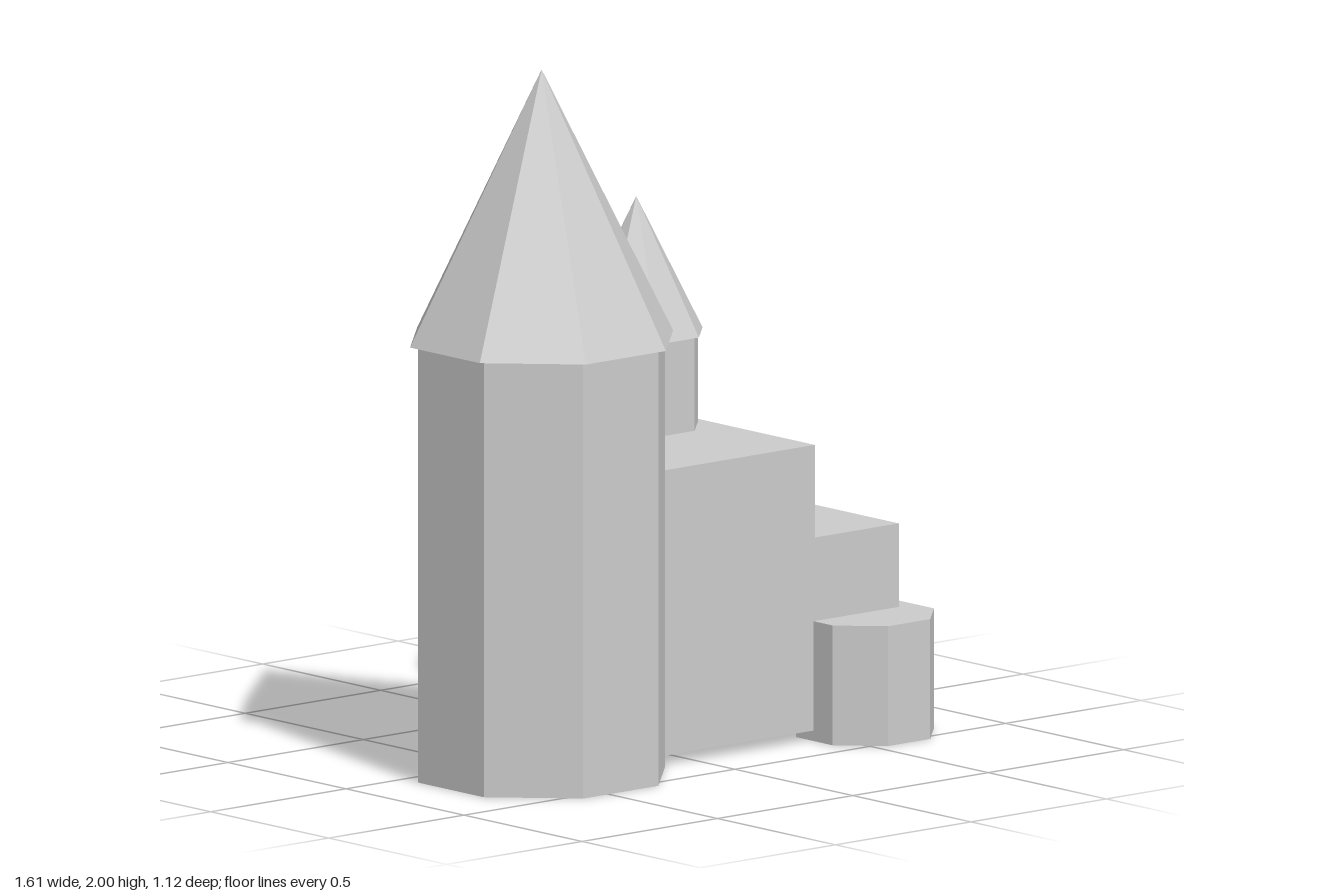
import * as THREE from 'three';

const material = new THREE.MeshStandardMaterial({ color: 0xcccccc, flatShading: true });
const SIDES = 8;

function addMesh(parent, name, geometry, x, y, z) {
  const mesh = new THREE.Mesh(geometry, material);
  mesh.name = name;
  mesh.position.set(x, y, z);
  parent.add(mesh);
  return mesh;
}

// Eight-sided prism with a flat side facing front; apothem is half the width across flats
function addShaft(parent, name, apothem, x, z, y0, y1) {
  const r = apothem / Math.cos(Math.PI / SIDES);
  const geometry = new THREE.CylinderGeometry(r, r, y1 - y0, SIDES);
  addMesh(parent, name, geometry, x, (y0 + y1) / 2, z).rotation.y = Math.PI / SIDES;
}

// Matching eight-sided spire, closed underneath
function addSpire(parent, name, apothem, x, z, y0, y1) {
  const r = apothem / Math.cos(Math.PI / SIDES);
  const geometry = new THREE.ConeGeometry(r, y1 - y0, SIDES);
  addMesh(parent, name, geometry, x, (y0 + y1) / 2, z).rotation.y = Math.PI / SIDES;
}

// Straight-walled block from a plan outline of [x, z] points
function addBlock(parent, name, plan, y0, y1) {
  const shape = new THREE.Shape(plan.map(([x, z]) => new THREE.Vector2(x, -z)));
  const geometry = new THREE.ExtrudeGeometry(shape, { depth: y1 - y0, bevelEnabled: false });
  geometry.rotateX(-Math.PI / 2);
  addMesh(parent, name, geometry, 0, y0, 0);
}

export function createModel() {
  const castle = new THREE.Group();
  castle.name = 'castle';

  // Tall tower
  const mainTower = new THREE.Group();
  mainTower.name = 'mainTower';
  addShaft(mainTower, 'mainTowerShaft', 0.335, -0.455, 0.204, 0, 1.235);
  addSpire(mainTower, 'mainTowerSpire', 0.357, -0.452, 0.2, 1.235, 2);
  castle.add(mainTower);

  // L-shaped hall running into the tall tower
  addBlock(castle, 'hall', [
    [-0.3, 0.34], [0.435, 0.34], [0.435, -0.383],
    [0.052, -0.383], [0.052, -0.01], [-0.3, -0.01],
  ], 0.03, 0.84);

  // Lower side wing
  addBlock(castle, 'sideWing', [
    [0.435, 0.34], [0.745, 0.34], [0.745, -0.56], [0.435, -0.56],
  ], 0.03, 0.577);

  // Turret on the hall roof
  const turret = new THREE.Group();
  turret.name = 'turret';
  addShaft(turret, 'turretShaft', 0.165, 0.247, -0.197, 0.8, 1.105);
  addSpire(turret, 'turretSpire', 0.18, 0.248, -0.202, 1.105, 1.49);
  castle.add(turret);

  // Low flat bastion at the wing's front corner
  addShaft(castle, 'cornerBastion', 0.187, 0.618, 0.343, 0, 0.34);

  return castle;
}
